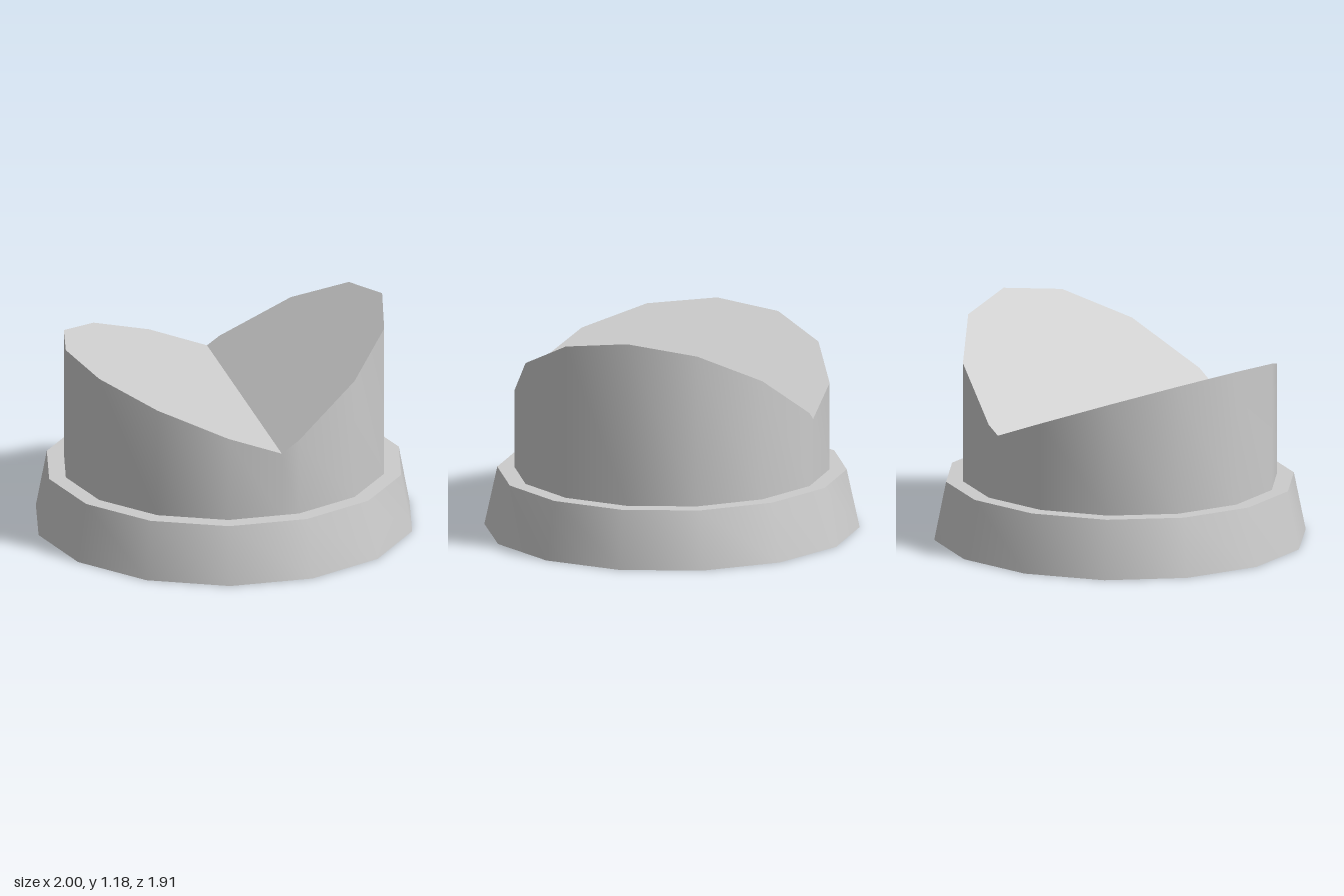
import * as THREE from 'three';
import { toCreasedNormals } from 'three/addons/utils/BufferGeometryUtils.js';

const SIDES = 14;
const SKEW = 0.016; // slight lean of the outline in x along z
const VALLEY_X = 0.11;
const VALLEY_Y = 0.655;

// Fourteen-sided outline, with a corner on the x axis
function ring(rx, rz, y) {
  const points = [];
  for (let i = 0; i < SIDES; i++) {
    const a = (i / SIDES) * Math.PI * 2;
    const z = Math.sin(a) * rz;
    points.push(new THREE.Vector3(Math.cos(a) * rx + SKEW * z, y, z));
  }
  return points;
}

// Wall between two matching rings
function wall(out, low, high) {
  low.forEach((p, i) => {
    const j = (i + 1) % low.length;
    out.push(p, high[i], high[j], p, high[j], low[j]);
  });
}

// Flat convex face, turned up or down
function cap(out, points, up) {
  for (let i = 1; i < points.length - 1; i++) {
    if (up) out.push(points[0], points[i + 1], points[i]);
    else out.push(points[0], points[i], points[i + 1]);
  }
}

function makeMesh(name, points) {
  const geometry = toCreasedNormals(new THREE.BufferGeometry().setFromPoints(points), 0.6);
  const mesh = new THREE.Mesh(geometry, new THREE.MeshStandardMaterial({ color: 0xcccccc }));
  mesh.name = name;
  return mesh;
}

// Height of the V-shaped top
function topHeight(x) {
  const d = x - VALLEY_X;
  return VALLEY_Y + (d < 0 ? -d * 0.384 : d * 0.708);
}

export function createModel() {
  const group = new THREE.Group();
  group.name = 'notchedPlug';

  // Tapered base with a flat ledge
  const base = [];
  const foot = ring(1, 0.977, 0);
  const rim = ring(0.943, 0.909, 0.31);
  wall(base, foot, rim);
  cap(base, foot, false);
  cap(base, rim, true);
  group.add(makeMesh('base', base));

  // Body outline, with extra corners where the valley meets the walls
  const low = ring(0.853, 0.82, 0.31);
  low.splice(11, 0, new THREE.Vector3(VALLEY_X, 0.31, low[10].z));
  low.splice(4, 0, new THREE.Vector3(VALLEY_X, 0.31, low[3].z));
  const high = low.map((p) => new THREE.Vector3(p.x, topHeight(p.x), p.z));

  // Body with two sloping top faces meeting in the valley
  const body = [];
  wall(body, low, high);
  cap(body, high.filter((p) => p.x <= VALLEY_X + 1e-6), true);
  cap(body, high.filter((p) => p.x >= VALLEY_X - 1e-6), true);
  group.add(makeMesh('notchedBody', body));

  return group;
}
